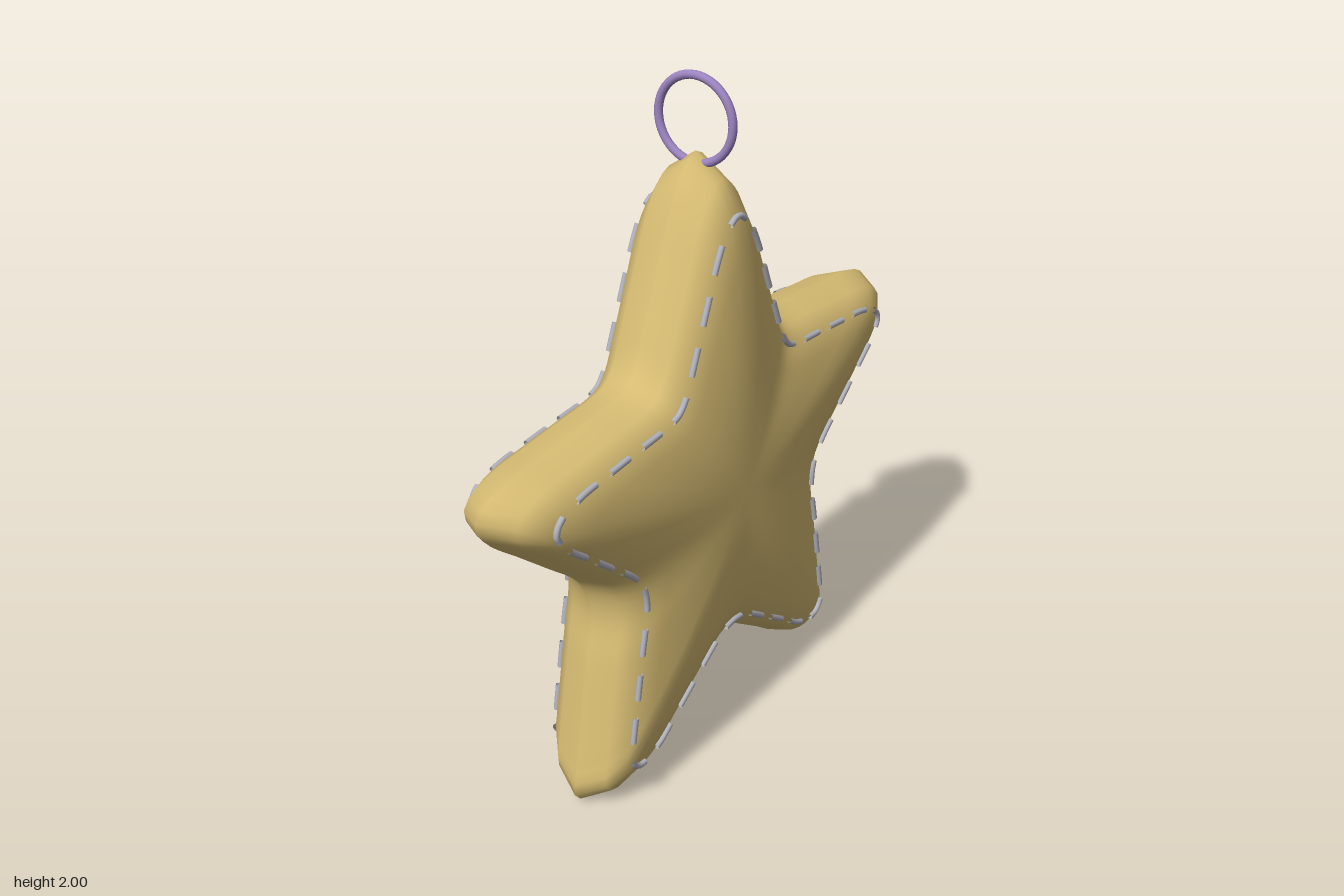
import * as THREE from 'three';

const CENTRE_Y = 0.81;

// Half outline of the star as [z, y], from the top tip down to the bottom notch
const HALF = [
  [0, 1.785], [0.065, 1.74], [0.11, 1.667], [0.165, 1.535], [0.235, 1.365], [0.28, 1.265],
  [0.32, 1.222], [0.38, 1.206], [0.52, 1.193], [0.68, 1.178], [0.815, 1.163], [0.905, 1.13],
  [0.928, 1.09], [0.88, 1.02], [0.78, 0.936], [0.66, 0.836], [0.56, 0.752], [0.513, 0.69],
  [0.497, 0.598], [0.523, 0.455], [0.558, 0.26], [0.585, 0.11], [0.593, 0.045], [0.55, 0.004],
  [0.445, 0.024], [0.335, 0.097], [0.21, 0.18], [0.106, 0.249], [0.05, 0.274], [0, 0.28],
];

// Pillow profile as [outline scale, thickness]
const PROFILE = [
  [1, 0], [0.94, 0.085], [0.86, 0.13], [0.7, 0.153], [0.5, 0.171], [0.3, 0.18], [0.12, 0.181],
];

function outlineCurve() {
  const mirrored = HALF.slice(1, -1).reverse().map(([z, y]) => [-z, y]);
  const points = [...HALF, ...mirrored].map(([z, y]) => new THREE.Vector3(0, y - CENTRE_Y, z));
  const curve = new THREE.CatmullRomCurve3(points, true, 'centripetal');
  curve.arcLengthDivisions = 800;
  return curve;
}

// One half of the pillow: scaled outlines closing on a centre point
function pillowHalf(curve, side) {
  const n = 180;
  const outline = curve.getSpacedPoints(n).slice(0, n);
  const positions = [];
  const index = [];
  const tri = (a, b, c) => (side > 0 ? index.push(a, b, c) : index.push(a, c, b));
  for (const [scale, thick] of PROFILE) {
    for (const p of outline) positions.push(side * thick, CENTRE_Y + p.y * scale, p.z * scale);
  }
  positions.push(side * 0.181, CENTRE_Y, 0);
  const last = PROFILE.length - 1;
  for (let r = 0; r <= last; r++) {
    for (let i = 0; i < n; i++) {
      const j = (i + 1) % n;
      const a = r * n + i;
      const b = r * n + j;
      if (r === last) {
        tri(a, b, n * PROFILE.length);
      } else {
        tri(a, b, b + n);
        tri(a, b + n, a + n);
      }
    }
  }
  const geometry = new THREE.BufferGeometry();
  geometry.setAttribute('position', new THREE.Float32BufferAttribute(positions, 3));
  geometry.setIndex(index);
  geometry.computeVertexNormals();
  return geometry;
}

export function createModel() {
  const model = new THREE.Group();
  const fabric = new THREE.MeshStandardMaterial({ color: 0xd9be74 });
  fabric.name = 'sand fabric';
  const thread = new THREE.MeshStandardMaterial({ color: 0xb2b2bc, side: THREE.DoubleSide });
  thread.name = 'grey thread';
  const metal = new THREE.MeshStandardMaterial({ color: 0x9c84c0 });
  metal.name = 'purple metal';

  const curve = outlineCurve();

  for (const side of [1, -1]) {
    const name = side > 0 ? 'left' : 'right';
    const half = new THREE.Mesh(pillowHalf(curve, side), fabric);
    half.name = name + 'StarHalf';
    model.add(half);

    // Running stitches that follow the outline a little way in
    const stitches = new THREE.Group();
    stitches.name = name + 'Stitches';
    const count = 40;
    const scale = 0.845;
    const at = (u) => {
      const p = curve.getPointAt((u + 1) % 1).multiplyScalar(scale);
      return p.set(side * 0.137, p.y + CENTRE_Y, p.z);
    };
    for (let i = 0; i < count; i++) {
      const path = new THREE.CatmullRomCurve3(
        [-0.29, -0.1, 0.1, 0.29].map((d) => at((i + d) / count)));
      const stitch = new THREE.Mesh(new THREE.TubeGeometry(path, 6, 0.009, 8), thread);
      stitch.name = 'stitch';
      stitches.add(stitch);
    }
    model.add(stitches);
  }

  // Hanging ring through the top tip
  const ring = new THREE.Mesh(new THREE.TorusGeometry(0.118, 0.012, 12, 48), metal);
  ring.name = 'hangingRing';
  ring.position.y = 1.87;
  model.add(ring);

  return model;
}
